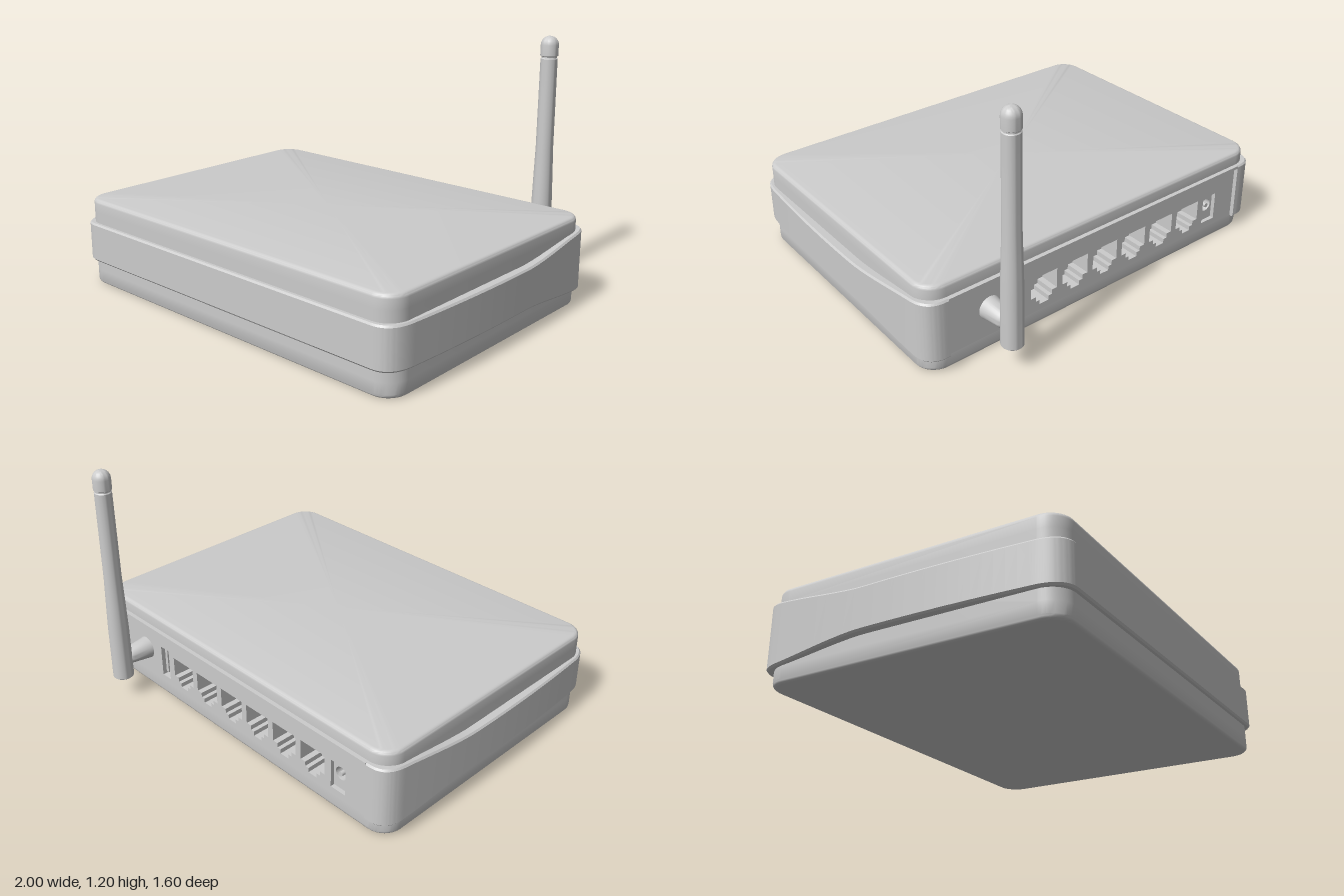
import * as THREE from 'three';
import { toCreasedNormals } from 'three/addons/utils/BufferGeometryUtils.js';

const W = 0.96, BACK = -0.6, FRONT = 0.78, R = 0.1;   // case plan
const LOW = 0.07, HIGH = 0.36, TOP = 0.425;           // rear panel limits, case top
const PANEL_X = W - R, FLOOR_Z = -0.5;                // panel half width, socket depth

const mat = new THREE.MeshStandardMaterial({ color: 0xcccccc, side: THREE.DoubleSide });

function add(parent, name, geometry, x = 0, y = 0, z = 0) {
  const mesh = new THREE.Mesh(geometry, mat);
  mesh.name = name;
  mesh.position.set(x, y, z);
  parent.add(mesh);
  return mesh;
}

// Skin over rows of points with equal counts
function skin(rows, closed) {
  const n = rows[0].length, index = [];
  for (let i = 0; i < rows.length - 1; i++) {
    for (let j = 0; j < (closed ? n : n - 1); j++) {
      const k = (j + 1) % n;
      const a = i * n + j, b = i * n + k, c = a + n, d = b + n;
      index.push(a, c, b, b, c, d);
    }
  }
  const g = new THREE.BufferGeometry().setFromPoints(rows.flat());
  g.setIndex(index);
  return toCreasedNormals(g, 0.6);
}

// Rounded plan outline in (x, z), starting and ending on the rear edge
function outline(inset) {
  const r = R - inset, pts = [];
  const corners = [[1, BACK + R, -90], [1, FRONT - R, 0], [-1, FRONT - R, 90], [-1, BACK + R, 180]];
  for (const [side, z, start] of corners) {
    for (let i = 0; i <= 10; i++) {
      const a = THREE.MathUtils.degToRad(start + i * 9);
      pts.push(new THREE.Vector2(side * (W - R) + r * Math.cos(a), z + r * Math.sin(a)));
    }
  }
  return pts;
}

// Slab closed at both ends; profile is a list of [y, inset]
function slab(profile) {
  const rows = profile.map(([y, d]) => outline(d).map(p => new THREE.Vector3(p.x, y, p.y)));
  const cap = y => rows[0].map(() => new THREE.Vector3(0, y, 0.09));
  return skin([cap(profile[0][0]), ...rows, cap(profile.at(-1)[0])], true);
}

// Band around front and sides, flaring towards the rear
function bandGeometry() {
  const s = new THREE.Path();
  s.moveTo(PANEL_X, -0.62);
  s.lineTo(0.875, -0.62);
  s.quadraticCurveTo(0.975, -0.62, 0.98, -0.51);
  s.quadraticCurveTo(1.02, 0.08, 0.98, 0.66);
  s.quadraticCurveTo(0.975, 0.8, 0.87, 0.8);
  s.lineTo(-0.87, 0.8);
  s.quadraticCurveTo(-0.975, 0.8, -0.98, 0.66);
  s.quadraticCurveTo(-1.02, 0.08, -0.98, -0.51);
  s.quadraticCurveTo(-0.975, -0.62, -0.875, -0.62);
  s.lineTo(-PANEL_X, -0.62);
  const pts = s.getPoints(24);
  const columns = pts.map((p, i) => {
    const t = pts[Math.min(i + 1, pts.length - 1)].clone().sub(pts[Math.max(i - 1, 0)]).normalize();
    const u = THREE.MathUtils.clamp((-0.1 - p.y) / 0.48, 0, 1);
    const flare = 0.05 * (u + u * u * (3 - 2 * u)) / 2;
    const y0 = 0.12 - flare, y1 = 0.31 + flare;
    return [[0.06, y0], [0.007, y0], [0, y0 + 0.008], [0, y1 - 0.008], [0.007, y1], [0.06, y1]]
      .map(([d, y]) => new THREE.Vector3(p.x - t.y * d, y, p.y + t.x * d));
  });
  // Close both ends
  columns.unshift(columns[0].map(() => columns[0][0]));
  const last = columns.at(-1);
  columns.push(last.map(() => last[0]));
  return skin(columns[0].map((_, i) => columns.map(c => c[i])), false);
}

const rect = (x, y0, y1, w) => [[x - w / 2, y0], [x + w / 2, y0], [x + w / 2, y1], [x - w / 2, y1]];
const toPath = (pts, Type = THREE.Path) => new Type(pts.map(([x, y]) => new THREE.Vector2(x, y)));

// Network socket outline with a stepped latch slot below
function socket(x) {
  const half = [[0.025, 0.1], [0.025, 0.122], [0.045, 0.122], [0.045, 0.145], [0.073, 0.145], [0.073, 0.245]];
  return [...half.map(([a, y]) => [x + a, y]), ...half.reverse().map(([a, y]) => [x - a, y])];
}

function lathe(points) {
  const g = new THREE.LatheGeometry(points.map(([r, y]) => new THREE.Vector2(r, y)), 32);
  return toCreasedNormals(g, 0.6);
}

export function createModel() {
  const model = new THREE.Group();
  model.name = 'router';

  // Case: bevelled base and lid with a notched core between them
  const bevel = [0, 1, 2, 3, 4].map(i => {
    const a = i * Math.PI / 8;
    return [0.02 * (1 - Math.cos(a)), 0.02 * (1 - Math.sin(a))];
  });
  const base = bevel.map(([y, d]) => [y, d]);
  const lid = bevel.map(([y, d]) => [TOP - y, d]).reverse();
  add(model, 'base', slab([...base, [LOW, 0]]));
  add(model, 'lid', slab([[HIGH, 0], ...lid]));
  const notched = new THREE.Shape([...outline(0),
    new THREE.Vector2(-PANEL_X, FLOOR_Z), new THREE.Vector2(PANEL_X, FLOOR_Z)]);
  const core = new THREE.ExtrudeGeometry(notched, { depth: HIGH - LOW, bevelEnabled: false });
  core.rotateX(Math.PI / 2);
  add(model, 'core', toCreasedNormals(core, 0.6), 0, HIGH, 0);

  add(model, 'sideBand', bandGeometry());

  // Rear panel with its sockets
  const rear = new THREE.Group();
  rear.name = 'rearPanel';
  model.add(rear);
  const usbX = 0.495, jackX = -0.69;
  const panel = toPath(rect(0, LOW, HIGH, 2 * PANEL_X), THREE.Shape);
  for (let i = 0; i < 6; i++) panel.holes.push(toPath(socket(0.353 - i * 0.178)));
  panel.holes.push(toPath(rect(usbX, 0.105, 0.265, 0.06)));
  panel.holes.push(toPath(rect(jackX, 0.105, 0.245, 0.085)));
  add(rear, 'panelPlate', new THREE.ExtrudeGeometry(panel, { depth: FLOOR_Z - BACK, bevelEnabled: false }), 0, 0, BACK);
  add(rear, 'panelLip', new THREE.BoxGeometry(2 * PANEL_X, 0.014, 0.03), 0, HIGH - 0.007, -0.605);
  add(rear, 'usbTongue', new THREE.BoxGeometry(0.018, 0.125, 0.08), usbX + 0.012, 0.185, -0.545);

  // Power jack
  const jack = toPath(rect(jackX, 0.105, 0.245, 0.085), THREE.Shape);
  const bore = new THREE.Path();
  bore.absarc(jackX, 0.185, 0.032, 0, Math.PI * 2, true);
  jack.holes.push(bore);
  add(rear, 'jackHousing', new THREE.ExtrudeGeometry(jack, { depth: 0.08, bevelEnabled: false, curveSegments: 16 }), 0, 0, -0.58);
  const pin = new THREE.CylinderGeometry(0.011, 0.011, 0.08, 12).rotateX(Math.PI / 2);
  add(rear, 'jackPin', pin, jackX, 0.185, -0.545);

  // Antenna on a tapered hinge
  const antenna = new THREE.Group();
  antenna.name = 'antenna';
  antenna.position.set(0.645, 0, -0.75);
  model.add(antenna);
  const dome = [0, 1, 2, 3, 4, 5, 6].map(i => {
    const a = i * Math.PI / 12;
    return [0.042 * Math.cos(a), 1.155 + 0.042 * Math.sin(a)];
  });
  add(antenna, 'antennaRod', lathe([[0, 0.115], [0.046, 0.115], [0.05, 0.119], [0.049, 0.38],
    [0.046, 0.5], [0.0415, 0.66], [0.04, 1.09], [0.036, 1.094], [0.036, 1.102]]));
  add(antenna, 'antennaTip', lathe([[0.036, 1.1], [0.042, 1.104], ...dome]));
  const hinge = lathe([[0.055, 0], [0.052, 0.02], [0.042, 0.1], [0.034, 0.118], [0.018, 0.128], [0, 0.13]]);
  add(antenna, 'antennaHinge', hinge.rotateX(-Math.PI / 2), 0, 0.21, 0.15);

  return model;
}
